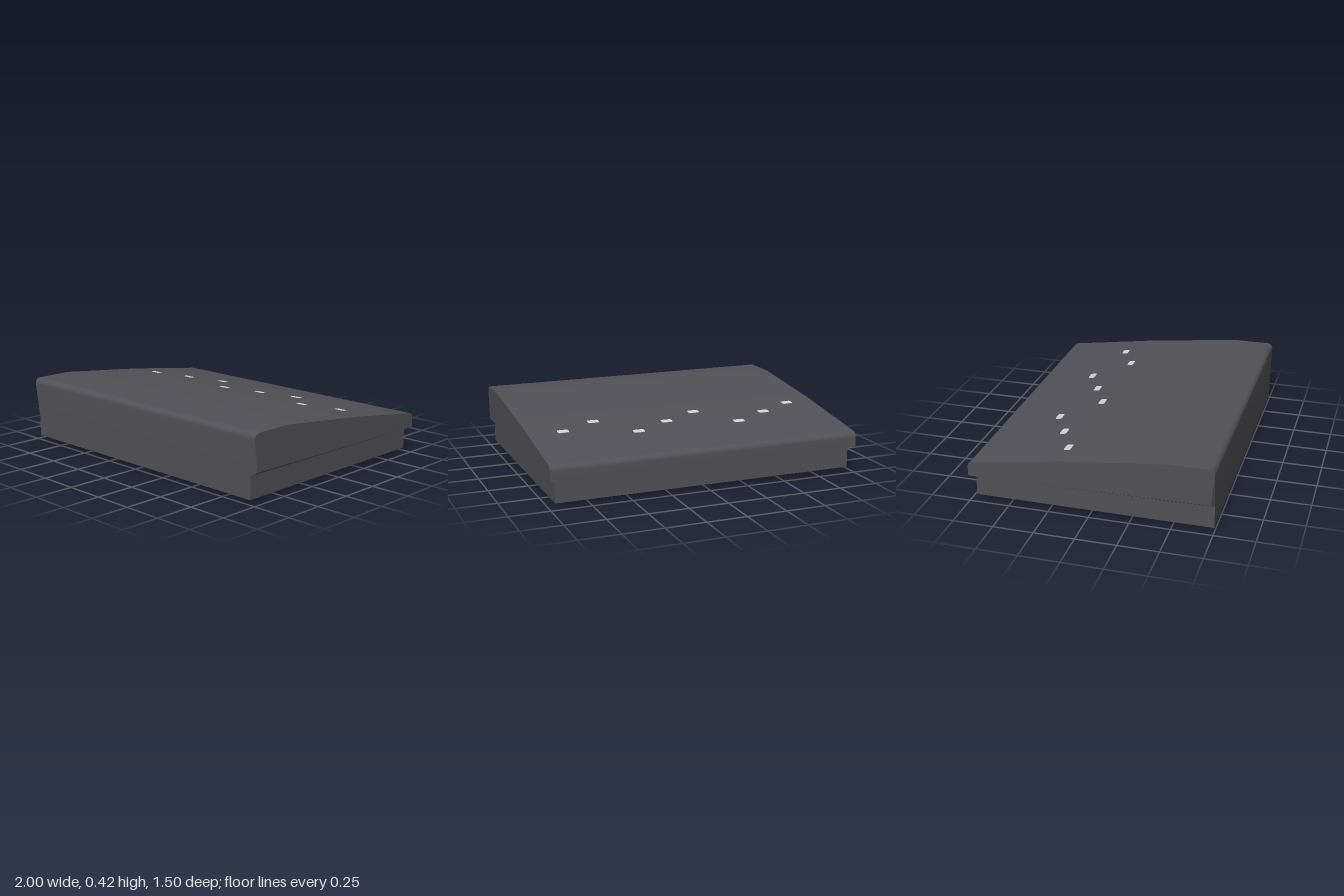
import * as THREE from 'three';
import { toCreasedNormals } from 'three/addons/utils/BufferGeometryUtils.js';
import { ConvexGeometry } from 'three/addons/geometries/ConvexGeometry.js';

const casing = new THREE.MeshStandardMaterial({ color: 0x515157 });
casing.name = 'charcoal casing';
const lamp = new THREE.MeshStandardMaterial({ color: 0xd2d3d5 });
lamp.name = 'pale grey lamp';

// Sloping top line as [z, y], from back to front
const slope = [[-0.72, 0.267], [-0.14, 0.35], [0.48, 0.42]];

function topHeight(z) {
  const i = z < slope[1][0] ? 0 : 1;
  const [z0, y0] = slope[i], [z1, y1] = slope[i + 1];
  const grade = (y1 - y0) / (z1 - z0);
  return { y: y0 + grade * (z - z0), tilt: -Math.atan(grade) };
}

// Quarter-round edge as [z, y] points
function arc(z, y, r, from, to) {
  return Array.from({ length: 9 }, (_, i) => {
    const a = from + (to - from) * i / 8;
    return [z + r * Math.cos(a), y + r * Math.sin(a)];
  });
}

function lidGeometry() {
  const upper = [
    [-0.75, 0.17],
    ...arc(-0.715, 0.232, 0.035, Math.PI, Math.PI * 0.545),
    ...slope.slice(1),
    ...arc(0.715, 0.385, 0.035, Math.PI / 2, 0),
  ];
  const points = [];
  for (const side of [-1, 1]) {
    // Outer cheek is bevelled back at its front and lower edges
    for (const [z, y] of [...upper, [0.73, 0.192]]) points.push(new THREE.Vector3(side, y, z));
    for (const [z, y] of [...upper, [0.75, 0.17]]) points.push(new THREE.Vector3(side * 0.965, y, z));
  }
  return toCreasedNormals(new ConvexGeometry(points), 0.35);
}

function lampGeometry() {
  const w = 0.036, h = 0.021, r = 0.012;
  const s = new THREE.Shape();
  s.moveTo(-w + r, -h);
  s.lineTo(w - r, -h);
  s.quadraticCurveTo(w, -h, w, -h + r);
  s.lineTo(w, h - r);
  s.quadraticCurveTo(w, h, w - r, h);
  s.lineTo(-w + r, h);
  s.quadraticCurveTo(-w, h, -w, h - r);
  s.lineTo(-w, -h + r);
  s.quadraticCurveTo(-w, -h, -w + r, -h);
  const g = new THREE.ExtrudeGeometry(s, { depth: 0.004, bevelEnabled: false, curveSegments: 4 });
  return g.rotateX(-Math.PI / 2).translate(0, -0.002, 0);
}

export function createModel() {
  const model = new THREE.Group();
  model.name = 'desktopUnit';
  const add = (name, geometry, material, x = 0, y = 0, z = 0) => {
    const mesh = new THREE.Mesh(geometry, material);
    mesh.name = name;
    mesh.position.set(x, y, z);
    model.add(mesh);
    return mesh;
  };

  // Wedge lid overhanging the base at the sides and back
  add('lid', lidGeometry(), casing);
  add('base', new THREE.BoxGeometry(1.93, 0.14, 1.465), casing, 0, 0.1, 0.0175);

  // Tapered feet
  const foot = new THREE.CylinderGeometry(0.058, 0.035, 0.03, 24);
  for (const x of [-0.875, 0.875])
    for (const z of [-0.592, 0.595]) add('foot', foot, casing, x, 0.015, z);

  // Indicator lamps stepping backwards in repeating threes
  const lampShape = lampGeometry();
  for (let i = 0; i < 8; i++) {
    const z = [-0.175, -0.28, -0.388][i % 3];
    const { y, tilt } = topHeight(z);
    add('indicatorLamp', lampShape, lamp, -0.81 + i * 0.227, y, z).rotation.x = tilt;
  }
  return model;
}
